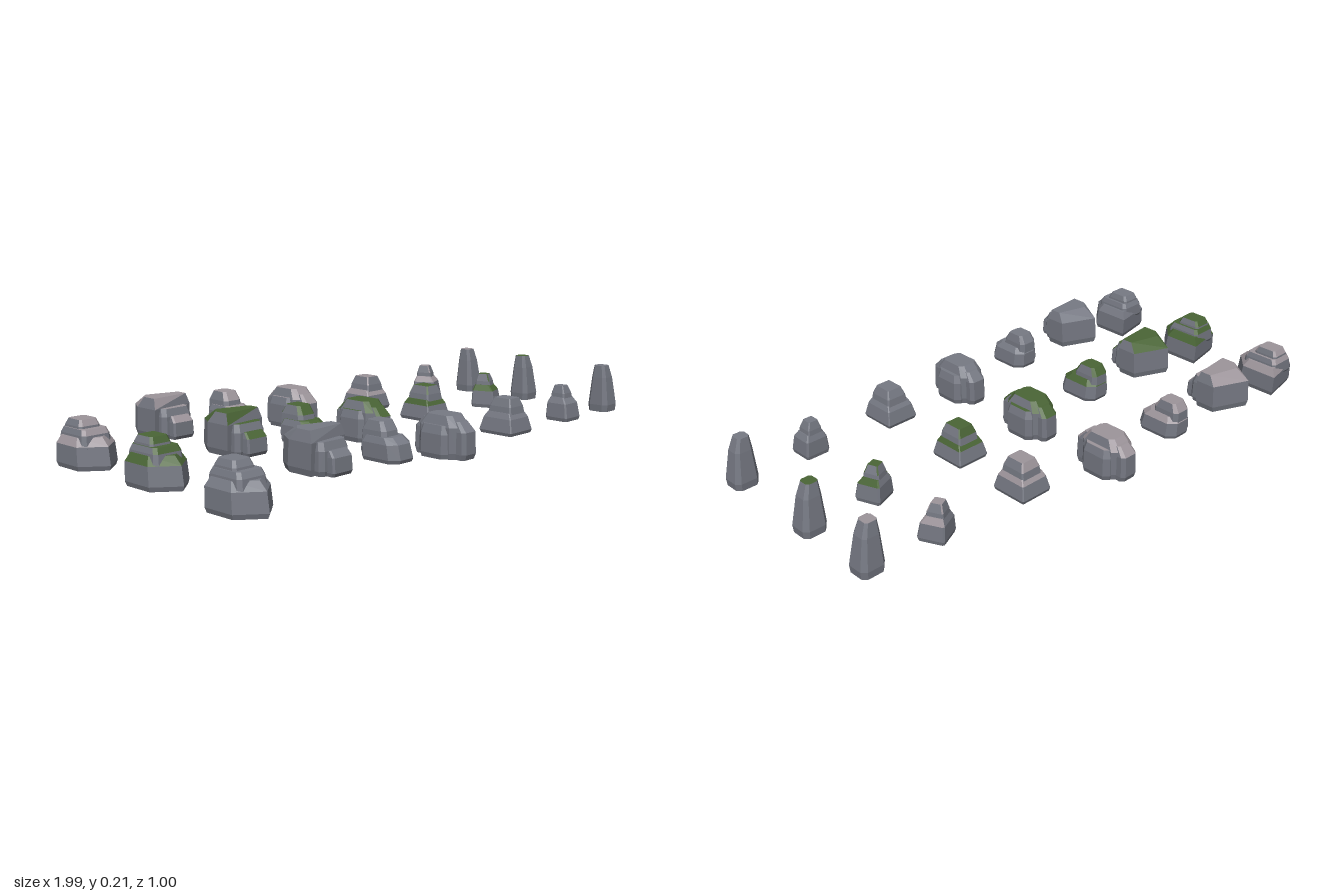
import * as THREE from 'three';
import { ConvexGeometry } from 'three/addons/geometries/ConvexGeometry.js';

// Rectangle outline with cut corners
const cut = (x0, x1, z0, z1, c) => [x0, x1].flatMap((x) => [z0, z1].flatMap((z) => [
  [x - Math.sign(x - (x0 + x1) / 2) * c, z],
  [x, z - Math.sign(z - (z0 + z1) / 2) * c]]));

// Five-sided outline: a box of half width w with a skewed flat end and a pointed end
const pointed = (w, flatZ, skew, sideZ, tipX, tipZ) =>
  [[-w, flatZ + skew], [w, flatZ - skew], [w, sideZ], [-w, sideZ], [tipX, tipZ]];

// Faceted chunk: undercut foot, widest just above it, then a shoulder and a smaller leaning top
function chunk(outline, y0, y1, shoulder, topX, topZ, leanX = 0, leanZ = 0) {
  const ring = (t, sx, sz, lean) => outline.map(([x, z]) =>
    new THREE.Vector3(x * sx + leanX * lean, y0 + (y1 - y0) * t, z * sz + leanZ * lean));
  return new ConvexGeometry([
    ...ring(0, 0.94, 0.94, 0), ...ring(0.15, 1, 1, 0),
    ...ring(0.74, shoulder, shoulder, 0.5), ...ring(1, topX, topZ, 1)]);
}

// Broad pointed base carrying two smaller tiers
const tieredBoulder = () => [
  chunk(pointed(0.077, -0.09, 0.015, 0.045, 0.005, 0.11), 0.01, 0.115, 0.96, 0.78, 0.74, 0, -0.01),
  chunk(cut(-0.06, 0.054, -0.09, 0.06, 0.012), 0.07, 0.14, 0.93, 0.82, 0.8, 0, -0.005),
  chunk(cut(-0.05, 0.039, -0.08, 0.028, 0.01), 0.09, 0.167, 0.88, 0.72, 0.68, 0, -0.01)];

// Tall body pointed at the back, with two steps in front
const archBoulder = () => [
  chunk(pointed(0.084, 0.038, 0.012, -0.05, -0.05, -0.108), 0.06, 0.198, 0.99, 0.86, 0.55, 0, 0.008),
  chunk(cut(-0.066, 0.06, 0, 0.078, 0.014), 0.06, 0.163, 0.98, 0.88, 0.85),
  chunk(cut(-0.043, 0.043, 0, 0.106, 0.006), 0.06, 0.138, 0.97, 0.88, 0.8)];

// Low oval base with a crown set towards the back
const slopedRock = () => [
  chunk(cut(-0.057, 0.059, -0.084, 0.083, 0.028), 0.05, 0.13, 0.93, 0.76, 0.68, -0.004, -0.01),
  chunk(cut(-0.049, 0.039, -0.083, 0.037, 0.015), 0.06, 0.177, 0.86, 0.68, 0.55, 0, -0.016)];

// Three crossing blocks, longer ones narrower
const ridgeBoulder = () => [
  chunk(cut(-0.072, 0.072, -0.065, 0.06, 0.018), 0.012, 0.125, 0.97, 0.85, 0.85),
  chunk(cut(-0.055, 0.05, -0.085, 0.085, 0.022), 0.012, 0.156, 0.98, 0.76, 0.62),
  chunk(cut(-0.038, 0.036, -0.11, 0.115, 0.012), 0.012, 0.138, 0.97, 0.75, 0.7)];

// Spreading base with a square flat top
const flatToppedRock = () => [
  chunk(cut(-0.062, 0.066, -0.074, 0.068, 0.004), 0.04, 0.118, 0.84, 0.7, 0.66),
  chunk(cut(-0.046, 0.054, -0.06, 0.055, 0.006), 0.055, 0.167, 0.8, 0.58, 0.6)];

// Small block with a narrow peak
const smallRock = () => [
  chunk(cut(-0.048, 0.047, -0.047, 0.048, 0.006), 0.037, 0.125, 0.88, 0.66, 0.6, 0, -0.008),
  chunk(cut(-0.034, 0.035, -0.042, 0.03, 0.006), 0.06, 0.167, 0.78, 0.52, 0.52, -0.003, -0.006)];

// Slender upright stone
const standingStone = () => [
  chunk(cut(-0.044, 0.048, -0.042, 0.045, 0.016), 0.033, 0.213, 0.72, 0.48, 0.52, -0.012, 0)];

// Each kind's place in the front row and its steps to the middle and back rows
const kinds = [
  { name: 'tieredBoulder', build: tieredBoulder, x: -0.915, z: 0.385, back: -0.755, sink: 0.01 },
  { name: 'archBoulder', build: archBoulder, x: -0.585, z: 0.36, back: -0.757 },
  { name: 'slopedRock', build: slopedRock, x: -0.305, z: 0.385, back: -0.765 },
  { name: 'ridgeBoulder', build: ridgeBoulder, x: -0.005, z: 0.375, back: -0.752 },
  { name: 'flatToppedRock', build: flatToppedRock, x: 0.325, z: 0.385, back: -0.685 },
  { name: 'smallRock', build: smallRock, x: 0.675, z: 0.39, back: -0.69, turns: true },
  { name: 'standingStone', build: standingStone, x: 0.952, z: 0.385, back: -0.67 },
];

const stone = (color) => new THREE.MeshStandardMaterial({ color, flatShading: true });

// Separate the upward faces from the side and bottom faces
function splitFaces(geometry) {
  const p = geometry.attributes.position;
  const sets = { sideFaces: [], topFaces: [] };
  const t = new THREE.Triangle(), n = new THREE.Vector3();
  for (let i = 0; i < p.count; i += 3) {
    t.setFromAttributeAndIndices(p, i, i + 1, i + 2);
    t.getNormal(n);
    const target = n.y > 0.38 ? sets.topFaces : sets.sideFaces;
    for (const v of [t.a, t.b, t.c]) target.push(v.x, v.y, v.z);
  }
  return Object.entries(sets).map(([name, list]) => {
    const g = new THREE.BufferGeometry();
    g.setAttribute('position', new THREE.Float32BufferAttribute(list, 3));
    g.computeVertexNormals();
    return [name, g];
  });
}

export function createModel() {
  const model = new THREE.Group();
  model.name = 'rockSet';
  const grey = stone(0x747781);
  // Bare, mossy and pale rows from front to back
  const rows = [
    { name: 'bare', top: stone(0x777a84), turn: 0 },
    { name: 'mossy', top: stone(0x4a6536), turn: 0.36 },
    { name: 'pale', top: stone(0x9d959b), turn: 0.44 },
  ];
  for (const { name, build, x, z, back, sink = 0, turns = false } of kinds) {
    const parts = build().flatMap(splitFaces);
    rows.forEach((row, r) => {
      const rock = new THREE.Group();
      rock.name = `${row.name} ${name}`;
      rock.position.set(x, r === 0 ? -sink : 0, z + [0, -0.38, back][r]);
      if (turns) {
        rock.rotation.y = row.turn;
        rock.position.x += r ? 0.02 : 0;
      }
      for (const [partName, geometry] of parts) {
        const mesh = new THREE.Mesh(geometry, partName === 'topFaces' ? row.top : grey);
        mesh.name = partName;
        rock.add(mesh);
      }
      model.add(rock);
    });
  }
  return model;
}
